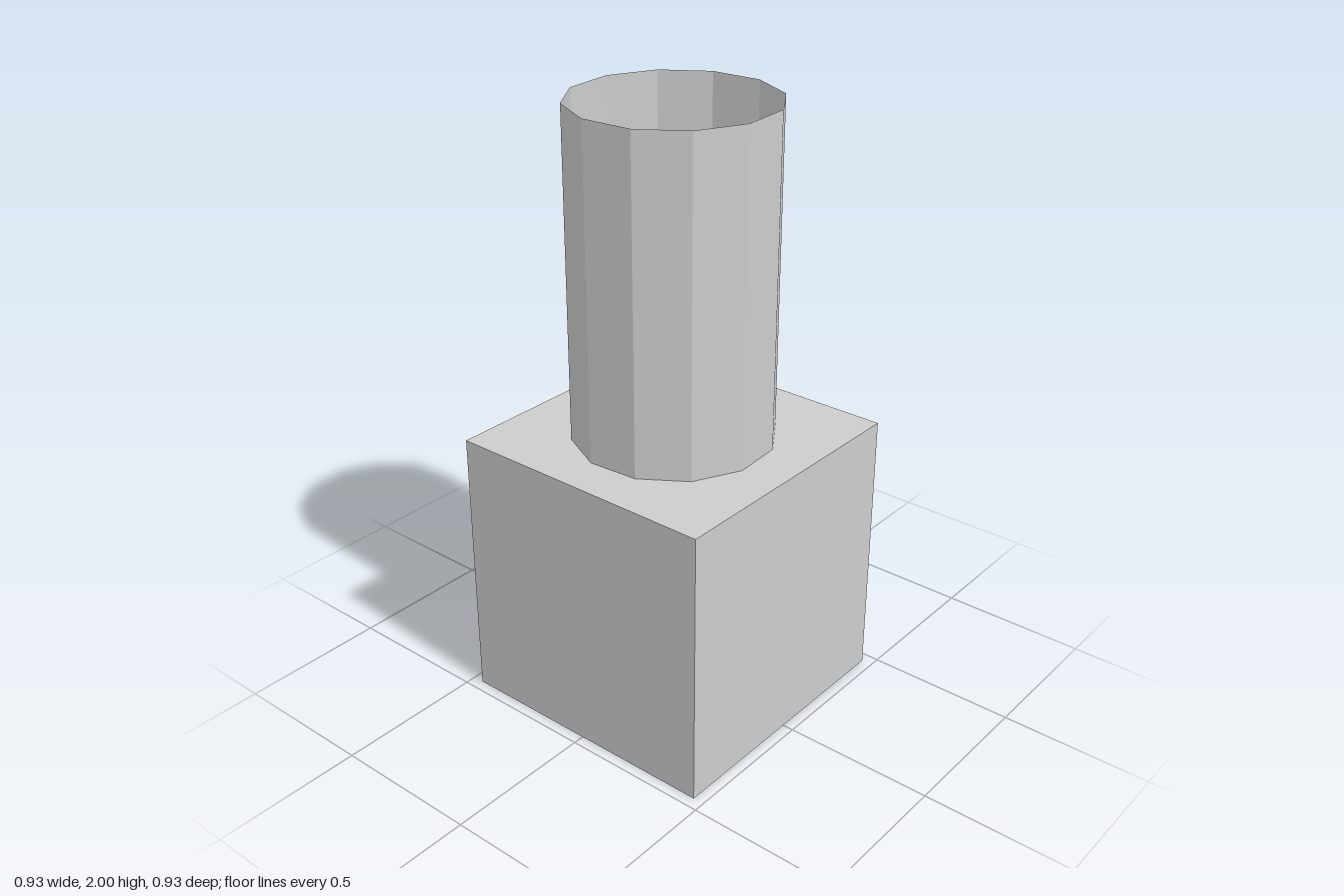
import * as THREE from 'three';

export function createModel() {
  const model = new THREE.Group();
  const grey = new THREE.MeshStandardMaterial({ color: 0xcccccc, side: THREE.DoubleSide, flatShading: true });
  grey.name = 'light grey';

  const side = 0.926, top = 2, radius = 0.327;

  // Cube base
  const base = new THREE.Mesh(new THREE.BoxGeometry(side, side, side), grey);
  base.name = 'base';
  base.position.y = side / 2;
  model.add(base);

  // Open twelve-sided tube, turned slightly about its axis
  const height = top - side;
  const tube = new THREE.Mesh(
    new THREE.CylinderGeometry(radius, radius, height, 12, 1, true, THREE.MathUtils.degToRad(18.7)), grey);
  tube.name = 'tube';
  tube.position.y = side + height / 2;
  model.add(tube);

  return model;
}
